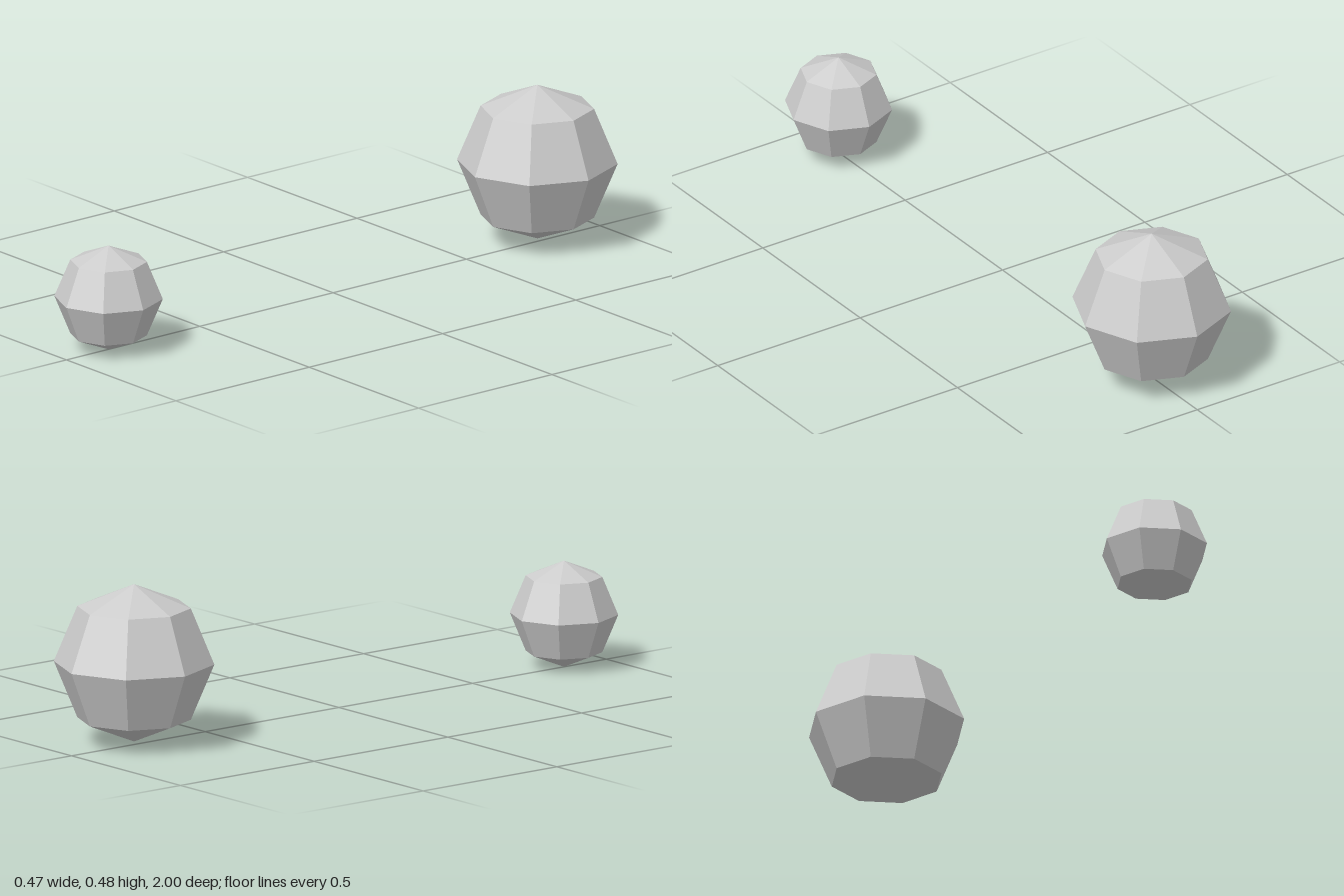
import * as THREE from 'three';

export function createModel() {
  const model = new THREE.Group();
  const material = new THREE.MeshStandardMaterial({ color: 0xcccccc, flatShading: true });

  // Low-poly ball: 8 sides around, 4 bands from pole to pole
  function addBall(name, radius, y, z) {
    const ball = new THREE.Mesh(new THREE.SphereGeometry(radius, 8, 4), material);
    ball.name = name;
    ball.position.set(0, y, z);
    model.add(ball);
  }

  addBall('smallFrontBall', 0.158, 0.159, 0.842);
  addBall('largeBackBall', 0.234, 0.244, -0.766);

  return model;
}
